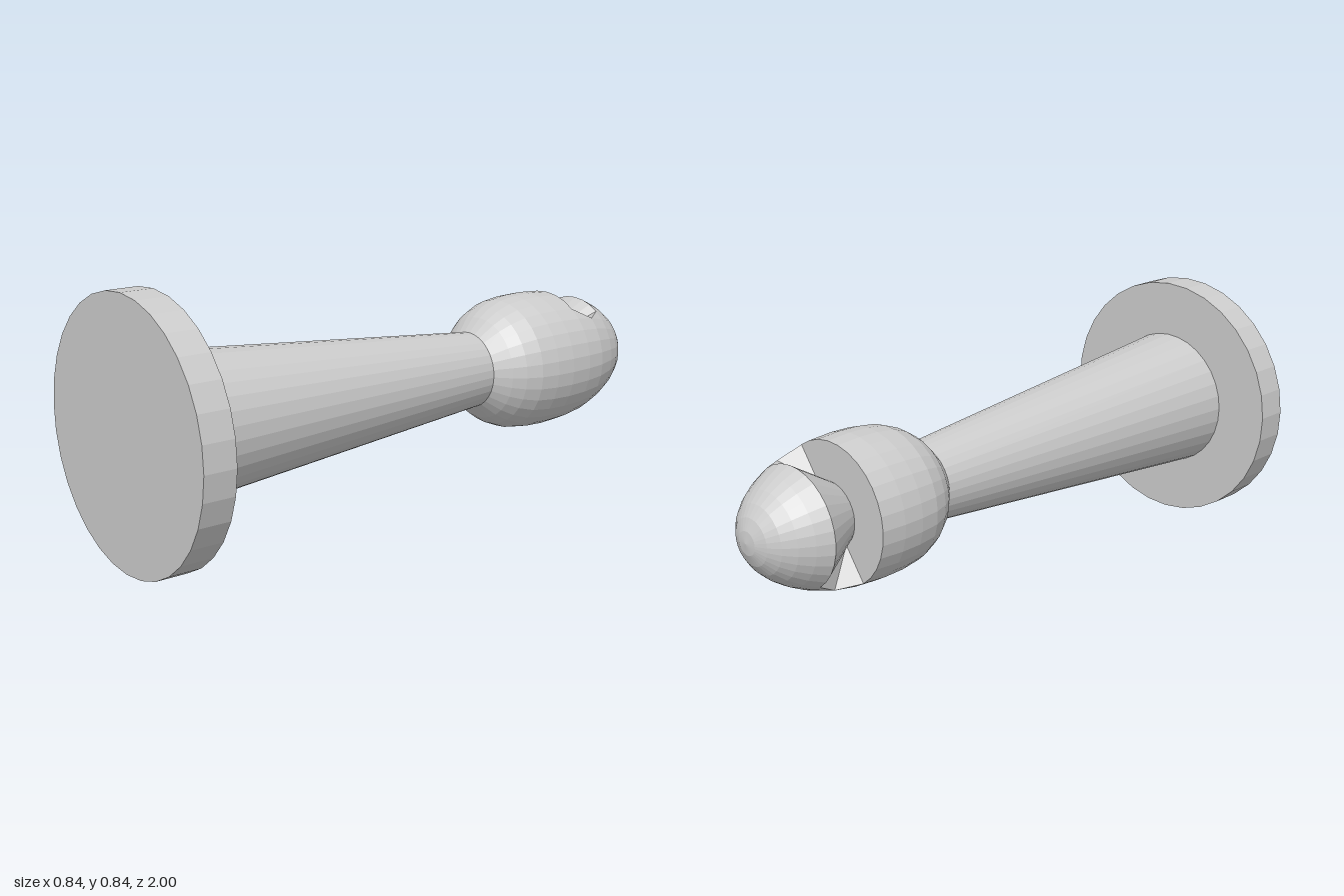
import * as THREE from 'three';

const SIDES = 32;
const STEP = (Math.PI * 2) / SIDES;
const START = THREE.MathUtils.degToRad(-144.25); // angle where the slot begins
const SLOT = SIDES / 2;                          // slot covers half a turn
const AXIS_Y = 0.421;

export function createModel() {
  const group = new THREE.Group();
  const material = new THREE.MeshStandardMaterial({
    color: 0xcccccc, flatShading: true, side: THREE.DoubleSide,
  });

  const add = (name, geometry) => {
    geometry.rotateX(-Math.PI / 2).translate(0, AXIS_Y, 0); // lay along -z
    const mesh = new THREE.Mesh(geometry, material);
    mesh.name = name;
    group.add(mesh);
  };

  // Turned part: profile of [radius, height along axis], over some of the sides
  const turn = (name, profile, first = 0, count = SIDES) =>
    add(name, new THREE.LatheGeometry(
      profile.map(([r, h]) => new THREE.Vector2(r, h)),
      count, START + first * STEP, count * STEP));

  // Base disc and tapered stem
  turn('base', [[0, -1], [0.421, -1], [0.421, -0.893], [0.23, -0.893]]);
  turn('stem', [[0.235, -0.893], [0.128, 0.325]]);

  // Egg-shaped head: below and above the slot
  const low = [0.227, 0.683], mid = [0.215, 0.757], high = [0.191, 0.828];
  const inner = [0.102, 0.683];
  turn('headLower', [[0.128, 0.325], [0.173, 0.37], [0.2, 0.41], [0.221, 0.463],
    [0.23, 0.53], [0.232, 0.6], low]);
  const tip = [high];
  for (let i = 1; i <= 6; i++) {
    const a = THREE.MathUtils.lerp(0.607, Math.PI / 2, i / 6);
    tip.push([0.232 * Math.cos(a), 0.6 + 0.4 * Math.sin(a)]);
  }
  turn('headTip', tip);

  // Slot: flat ledge and flaring cone on one half, plain skin on the other
  turn('slot', [low, inner, high], 0, SLOT);
  turn('headSide', [low, mid, high], SLOT + 1, SLOT - 2);

  // Pointed slot ends: two skin triangles and two wall triangles each
  const slotEnd = (name, edge, next) => {
    const at = ([r, h], k) => {
      const a = START + k * STEP;
      return [r * Math.sin(a), h, r * Math.cos(a)];
    };
    const L = at(low, edge), I = at(inner, edge), U = at(high, edge);
    const L1 = at(low, next), M1 = at(mid, next), U1 = at(high, next);
    let faces = [[L, L1, M1], [U, M1, U1], [L, M1, I], [I, M1, U]];
    if (next < edge) faces = faces.map(([a, b, c]) => [a, c, b]);
    const geometry = new THREE.BufferGeometry();
    geometry.setAttribute('position', new THREE.Float32BufferAttribute(faces.flat(2), 3));
    geometry.computeVertexNormals();
    add(name, geometry);
  };
  slotEnd('slotEndUpper', SLOT, SLOT + 1);
  slotEnd('slotEndLower', 0, -1);

  return group;
}
